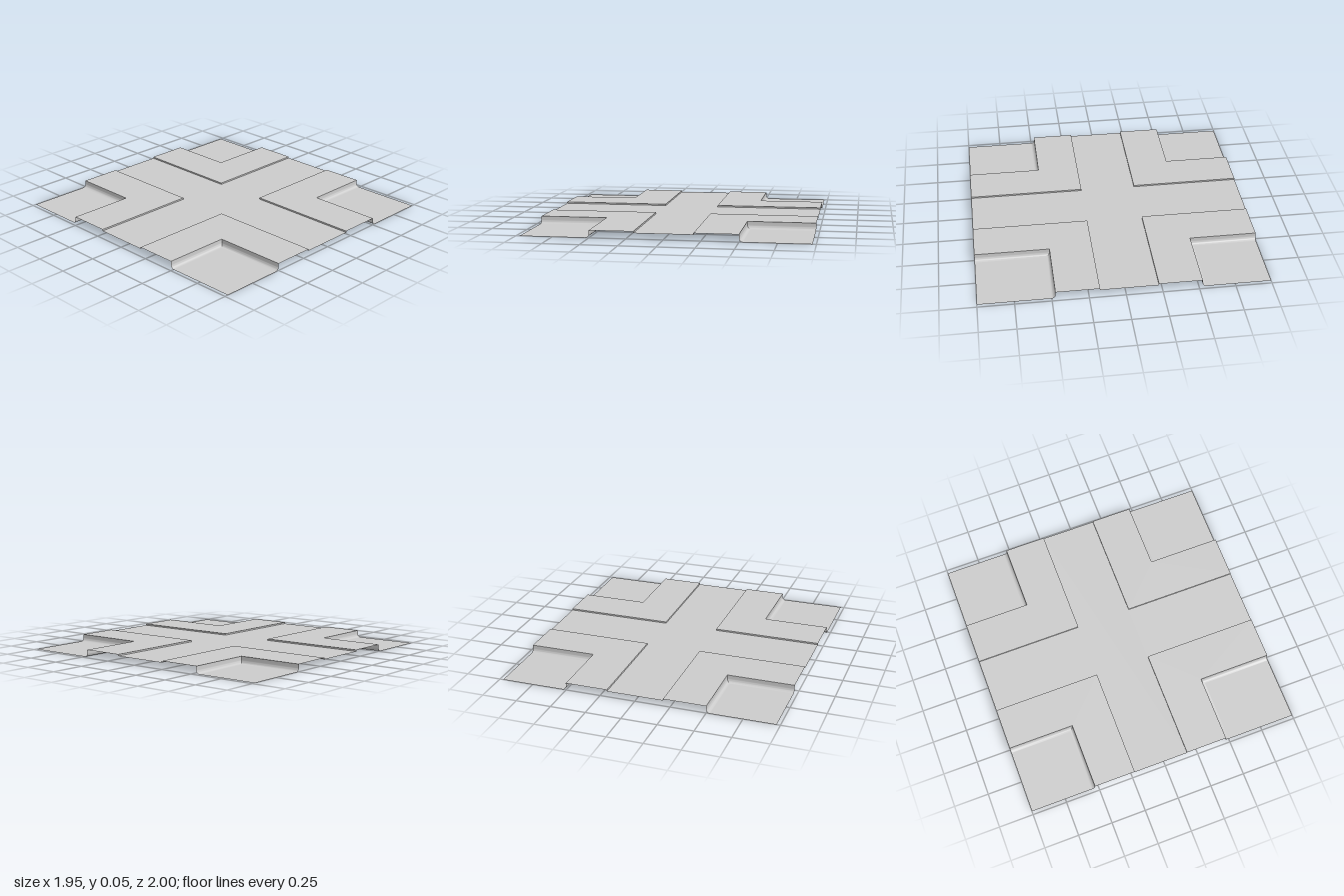
import * as THREE from 'three';
import { toCreasedNormals } from 'three/addons/utils/BufferGeometryUtils.js';

const HALF_X = 0.975, HALF_Z = 1, CENTRE_Z = -0.025; // tile extents, crossing centre
const ROAD = 0.2, PATH = 0.3;                        // road half width, pavement width
const ROAD_Y = 0.04, PATH_Y = 0.051, FILLET = 0.025;

const material = new THREE.MeshStandardMaterial({ color: 0xcccccc, side: THREE.DoubleSide });

function addMesh(parent, name, geometry) {
  const mesh = new THREE.Mesh(geometry, material);
  mesh.name = name;
  parent.add(mesh);
  return mesh;
}

// Sweeps a [distance, height] profile around one mitred corner of the crossing
function sweepCorner(profile, sx, sz) {
  const position = [], index = [];
  for (const [d, y] of profile) {
    const x = sx * (ROAD + d), z = CENTRE_Z + sz * (ROAD + d);
    position.push(sx * HALF_X, y, z, x, y, z, x, y, sz * HALF_Z);
  }
  for (let i = 0; i < profile.length - 1; i++) {
    for (let j = 0; j < 2; j++) {
      const a = i * 3 + j, b = a + 1, c = a + 3, d = a + 4;
      if (sx * sz > 0) index.push(a, b, c, b, d, c);
      else index.push(a, c, b, b, c, d);
    }
  }
  const geometry = new THREE.BufferGeometry();
  geometry.setAttribute('position', new THREE.Float32BufferAttribute(position, 3));
  geometry.setIndex(index);
  return toCreasedNormals(geometry, 0.6);
}

// Horizontal rectangle facing up
function flatRect(x0, x1, z0, z1, y) {
  return new THREE.PlaneGeometry(Math.abs(x1 - x0), Math.abs(z1 - z0))
    .rotateX(-Math.PI / 2)
    .translate((x0 + x1) / 2, y, (z0 + z1) / 2);
}

export function createModel() {
  const model = new THREE.Group();
  model.name = 'crossroads';

  // Crossing roads: one full strip and two arms
  const zBack = CENTRE_Z - ROAD, zFront = CENTRE_Z + ROAD;
  addMesh(model, 'crossRoad', flatRect(-HALF_X, HALF_X, zBack, zFront, ROAD_Y));
  addMesh(model, 'backRoad', flatRect(-ROAD, ROAD, -HALF_Z, zBack, ROAD_Y));
  addMesh(model, 'frontRoad', flatRect(-ROAD, ROAD, zFront, HALF_Z, ROAD_Y));

  // Bank dropping from the pavement, with a rounded foot
  const bank = [[PATH, PATH_Y]];
  for (let i = 0; i <= 6; i++) {
    const a = (i / 6) * Math.PI / 2;
    bank.push([PATH + FILLET * (1 - Math.cos(a)), FILLET * (1 - Math.sin(a))]);
  }

  for (const sz of [1, -1]) {
    for (const sx of [1, -1]) {
      const corner = new THREE.Group();
      corner.name = (sz > 0 ? 'front' : 'back') + (sx > 0 ? 'Left' : 'Right') + 'Corner';
      addMesh(corner, 'kerb', sweepCorner([[0, ROAD_Y], [0, PATH_Y]], sx, sz));
      addMesh(corner, 'pavement', sweepCorner([[0, PATH_Y], [PATH, PATH_Y]], sx, sz));
      addMesh(corner, 'bank', sweepCorner(bank, sx, sz));
      // Sunken building plot
      const foot = ROAD + PATH + FILLET;
      addMesh(corner, 'plot', flatRect(sx * foot, sx * HALF_X, CENTRE_Z + sz * foot, sz * HALF_Z, 0));
      model.add(corner);
    }
  }
  return model;
}
